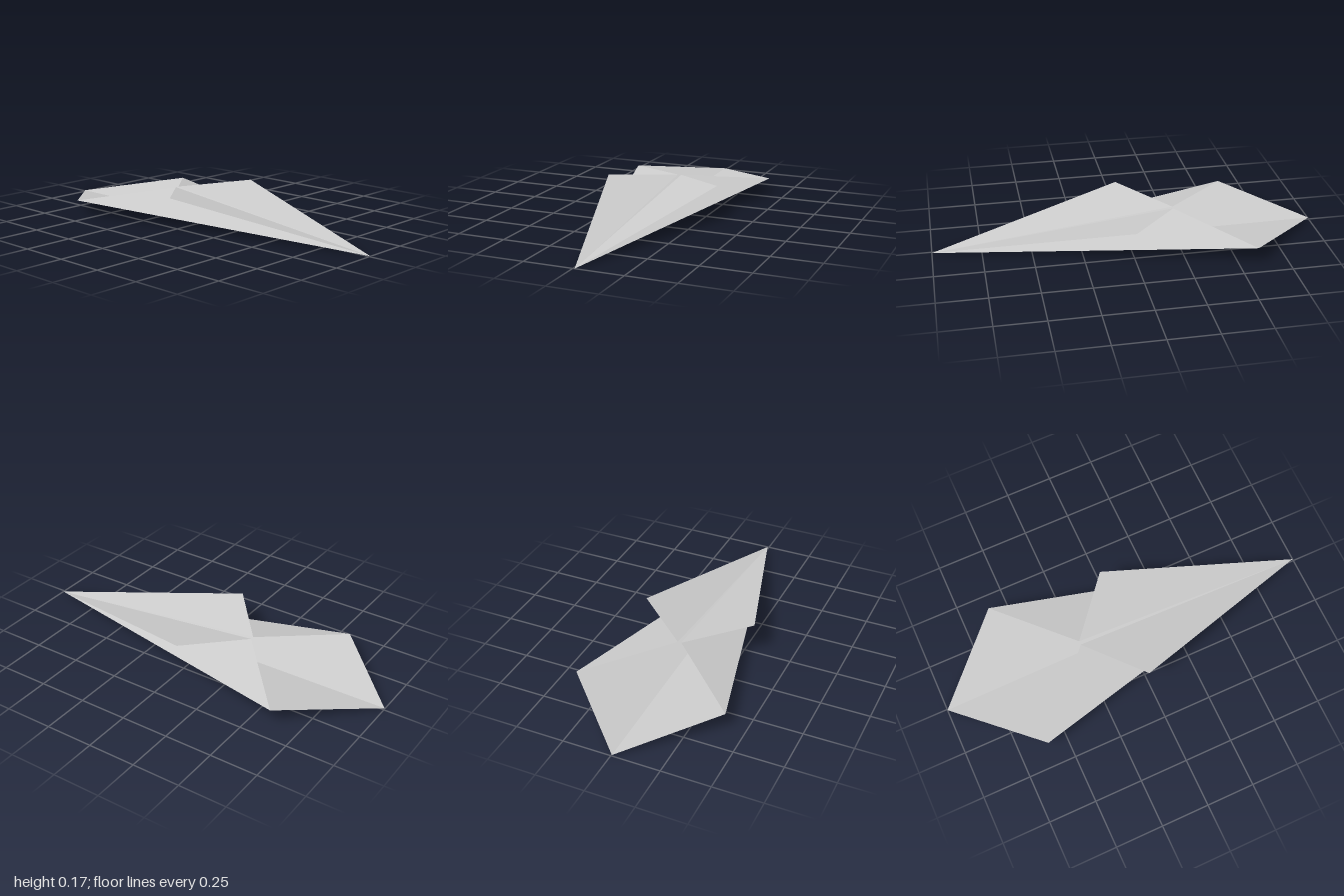
import * as THREE from 'three';

export function createModel() {
  const model = new THREE.Group();
  model.name = 'paperPlane';
  const paper = new THREE.MeshStandardMaterial({ color: 0xcccccc, side: THREE.DoubleSide });
  paper.name = 'paper';

  // One flat triangle of paper
  function addPanel(name, corners) {
    const geometry = new THREE.BufferGeometry();
    geometry.setAttribute('position', new THREE.Float32BufferAttribute(corners.flat(), 3));
    geometry.computeVertexNormals();
    const mesh = new THREE.Mesh(geometry, paper);
    mesh.name = name;
    model.add(mesh);
  }

  // Fold corners shared by the panels
  const nose = [0.009, 0, 1];
  const tail = [-0.006, 0.006, -1];
  const corner = s => [s * 0.397, 0.076, -0.6];
  const ridge = s => [s * 0.01 + 0.001, 0.139, -0.25];
  const flapTip = s => [s * 0.304 + 0.003, 0.167, 0];

  for (const s of [1, -1]) {
    const side = s > 0 ? 'left' : 'right';
    // Keeps the upper face outward on both sides
    const wind = (a, b, c) => (s > 0 ? [a, b, c] : [a, c, b]);
    // Outer flap folded back over the body
    addPanel(side + 'Flap', wind(nose, flapTip(s), ridge(s)));
    // Inner fold rising to the centre slit, open at the back
    addPanel(side + 'InnerFold', wind(nose, corner(s), ridge(s)));
    // Base half, creased along the centre line and bare at the tail
    addPanel(side + 'Base', wind(nose, corner(s), tail));
  }

  return model;
}
